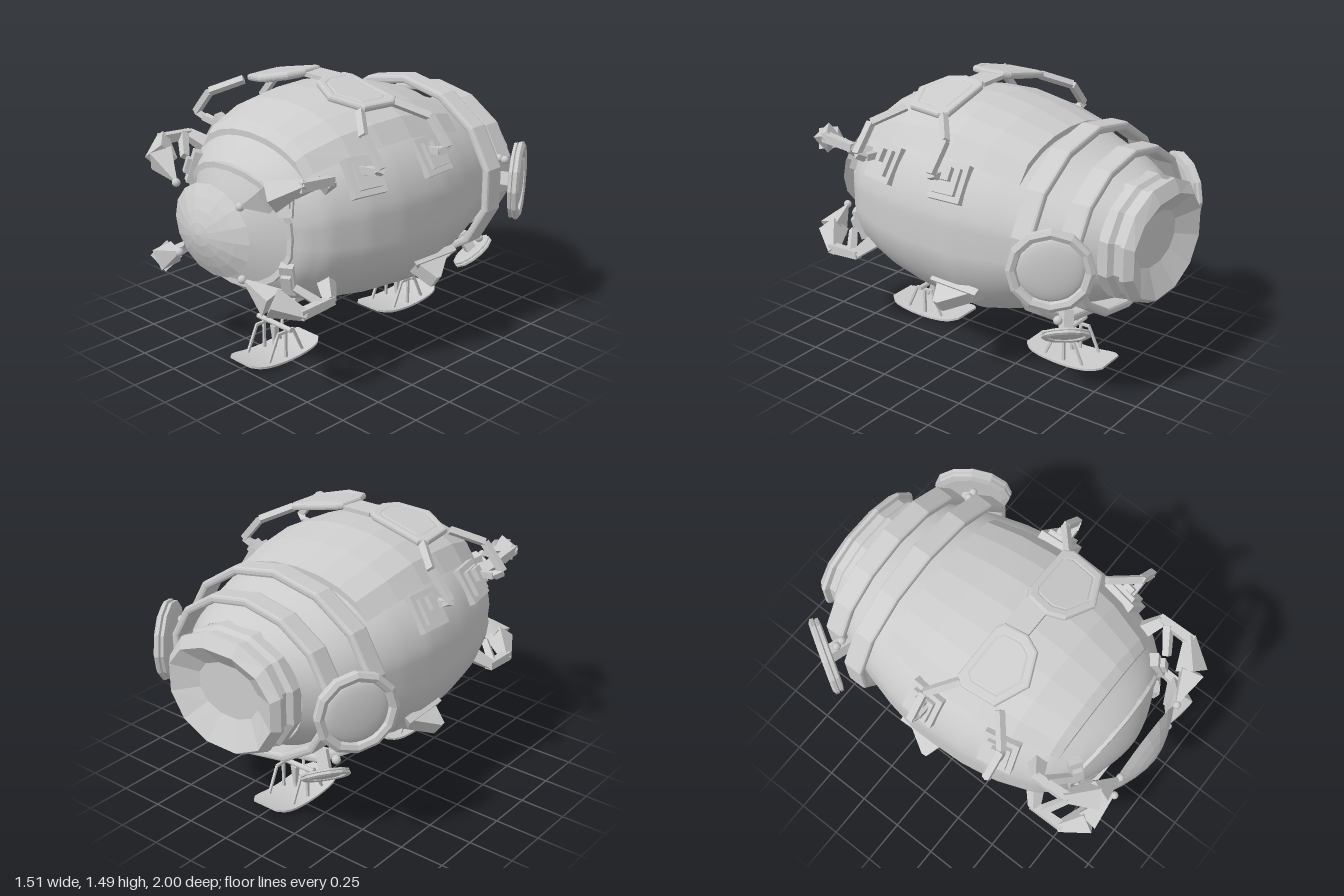
import * as THREE from 'three';

const V = (x, y, z) => new THREE.Vector3(x, y, z);
const smooth = new THREE.MeshStandardMaterial({ color: 0xcccccc, side: THREE.DoubleSide });
const flat = new THREE.MeshStandardMaterial({ color: 0xcccccc, side: THREE.DoubleSide, flatShading: true });
const CY = 0.83;

// hull sections: z, half width, top, bottom
const HULL = [
  [0.79, 0.38, 1.12, 0.52], [0.74, 0.44, 1.17, 0.46], [0.6, 0.52, 1.28, 0.395], [0.4, 0.595, 1.35, 0.34],
  [0.2, 0.63, 1.375, 0.3], [0, 0.64, 1.38, 0.28], [-0.12, 0.64, 1.36, 0.265], [-0.3, 0.61, 1.32, 0.315],
  [-0.47, 0.565, 1.26, 0.39], [-0.6, 0.52, 1.21, 0.43], [-0.7, 0.48, 1.18, 0.46], [-0.82, 0.38, 1.13, 0.51]];
// stepped tail with a bevelled recess
const TAIL = [
  [-0.8, 0.37, 1.14, 0.5], [-0.87, 0.38, 1.14, 0.5], [-0.89, 0.35, 1.12, 0.53], [-0.93, 0.35, 1.12, 0.53],
  [-0.94, 0.38, 1.135, 0.51], [-0.96, 0.38, 1.135, 0.51], [-1, 0.345, 1.065, 0.53], [-0.93, 0.2, 0.97, 0.68],
  [-0.93, 0.001, 0.831, 0.829]];

function ringPoint([z, w, top, bot], a, off = 0) {
  const c = Math.cos(a), s = Math.sin(a), e = 2 / 2.15;
  const groove = 1 - 0.018 * Math.exp(-((s / 0.07) ** 2)) * (z > -0.5 ? 1 : 0);
  const h = s > 0 ? top - CY : CY - bot;
  const sweep = 0.06 * c * c * Math.max(0, (z - 0.6) / 0.19);
  return V(Math.sign(c) * Math.abs(c) ** e * (w + off) * groove, CY + Math.sign(s) * Math.abs(s) ** e * (h + off), z - sweep);
}
function hullPoint(z, a, off = 0) {
  let i = 0;
  while (i < HULL.length - 2 && HULL[i + 1][0] > z) i++;
  const t = (z - HULL[i][0]) / (HULL[i + 1][0] - HULL[i][0]);
  return ringPoint(HULL[i].map((v, k) => v + (HULL[i + 1][k] - v) * t), a, off);
}
// grid surface from rows of points
function skin(rows, closed) {
  const n = rows[0].length, idx = [];
  for (let i = 0; i < rows.length - 1; i++) for (let j = 0; j < (closed ? n : n - 1); j++) {
    const k = (j + 1) % n, a = i * n + j, b = a + n, c = i * n + k, d = c + n;
    idx.push(a, b, c, c, b, d);
  }
  const g = new THREE.BufferGeometry().setFromPoints(rows.flat());
  g.setIndex(idx);
  g.computeVertexNormals();
  return g;
}
const around = (n, f) => Array.from({ length: n }, (_, j) => f((j / n) * Math.PI * 2));

function add(parent, name, geo, mat = flat) {
  const m = new THREE.Mesh(geo, mat);
  m.name = name;
  parent.add(m);
  return m;
}
function box(parent, name, w, h, d, x = 0, y = 0, z = 0) {
  const m = add(parent, name, new THREE.BoxGeometry(w, h, d));
  m.position.set(x, y, z);
  return m;
}
// square or round bar between two points, optionally tapered
function beam(parent, name, p, q, r1, r2 = r1, sides = 4) {
  const d = q.clone().sub(p);
  const m = add(parent, name, new THREE.CylinderGeometry(r2, r1, d.length(), sides).rotateY(Math.PI / 4));
  m.position.copy(p).add(q).multiplyScalar(0.5);
  m.quaternion.setFromUnitVectors(V(0, 1, 0), d.normalize());
}
function ball(parent, name, p, r) {
  add(parent, name, new THREE.SphereGeometry(r, 12, 8), smooth).position.copy(p);
}
// extruded outline with an optional hole
const ccw = pts => (THREE.ShapeUtils.isClockWise(pts) ? [...pts].reverse() : pts);
function plate(pts, hole, depth, bevel) {
  const shape = new THREE.Shape(ccw(pts));
  if (hole) shape.holes.push(new THREE.Path(ccw(hole)));
  return new THREE.ExtrudeGeometry(shape, { depth, bevelEnabled: bevel > 0, bevelThickness: bevel, bevelSize: bevel, bevelOffset: -bevel, bevelSegments: 2 });
}
// group sitting on the hull with +z along the surface normal
function mount(parent, name, z, a) {
  const g = new THREE.Group(), p = hullPoint(z, a);
  const u = hullPoint(z - 0.02, a).sub(hullPoint(z + 0.02, a));
  const v = hullPoint(z, a + 0.05).sub(hullPoint(z, a - 0.05));
  g.name = name;
  g.position.copy(p);
  g.lookAt(p.clone().add(u.cross(v).normalize()));
  parent.add(g);
  return g;
}
// shallow pointed cap, swept back at the sides
function dome(rx, ry, z0, depth, sweep, n, rings) {
  const rows = Array.from({ length: rings + 1 }, (_, i) => {
    const r = Math.max(i / rings, 0.002);
    return around(n, a => V(rx * r * Math.cos(a), CY - 0.005 + ry * r * Math.sin(a), z0 + depth * (1 - r ** 1.7) - sweep * (r * Math.cos(a)) ** 2));
  });
  return skin(rows, true);
}
function porthole(parent, name, pos, normal, r) {
  const g = new THREE.Group();
  g.name = name;
  g.position.copy(pos);
  g.lookAt(pos.clone().add(normal));
  parent.add(g);
  const rim = [[0, -0.13], [0.8, -0.13], [0.97, -0.1], [0.97, -0.03], [0.93, -0.01], [1, 0.02], [1, 0.1], [0.9, 0.16], [0.79, 0.12], [0.75, 0]];
  add(g, name + 'Rim', new THREE.LatheGeometry(rim.map(([x, y]) => new THREE.Vector2(x * r, y * r)), 12).rotateX(Math.PI / 2));
  const lens = add(g, name + 'Lens', new THREE.SphereGeometry(r * 0.77, 24, 6, 0, Math.PI * 2, 0, Math.PI / 2).rotateX(Math.PI / 2), smooth);
  lens.scale.z = 0.2;
}
// landing ski with its frame and strut, leaning towards the given side
function landingSki(parent, name, z, lean) {
  const g = new THREE.Group();
  g.name = name;
  g.position.z = z;
  parent.add(g);
  const geo = new THREE.BoxGeometry(0.245, 0.012, 0.49, 4, 1, 14), p = geo.attributes.position;
  for (let i = 0; i < p.count; i++) {
    const t = p.getZ(i) / 0.245;
    p.setX(i, p.getX(i) * (1 - 0.35 * t ** 8));
    p.setY(i, p.getY(i) + 0.006 + 0.034 * t * t);
  }
  geo.computeVertexNormals();
  add(g, 'ski', geo);
  for (const s of [-1, 1]) {
    box(g, 'skiRail', 0.014, 0.014, 0.11, s * 0.085, 0.16, 0);
    beam(g, 'skiPost', V(s * 0.085, 0.01, 0), V(s * 0.085, 0.17, 0), 0.01);
    for (const e of [-1, 1]) beam(g, 'skiLeg', V(s * 0.085, 0.015, e * 0.12), V(s * 0.085, 0.16, e * 0.052), 0.009);
    beam(g, 'strut', V(s * 0.058, 0.18, 0), V(s * 0.015, 0.31, lean * 0.05), 0.009, 0.009, 6);
  }
  beam(g, 'crossbar', V(-0.13, 0.182, 0), V(0.13, 0.182, 0), 0.014, 0.014, 8);
  beam(g, 'centrePost', V(0, 0.04, 0), V(0, 0.17, 0), 0.01, 0.025);
  box(g, 'strutClamp', 0.08, 0.025, 0.03, 0, 0.305, lean * 0.05);
  beam(g, 'strutTop', V(0, 0.29, lean * 0.045), V(0, 0.4, lean * 0.085), 0.025);
  const bay = mount(parent, name + 'Bay', z + lean * 0.05, -Math.PI / 2);
  const o = [[-0.18, 0.07], [0.18, 0.07], [0.12, -0.07], [-0.12, -0.07]].map(([x, y]) => new THREE.Vector2(x, y * -lean));
  add(bay, 'bayFrame', plate(o, o.map(v => v.clone().multiplyScalar(0.78)), 0.04, 0)).position.z = -0.025;
}

export function createModel() {
  const root = new THREE.Group();
  root.name = 'submersible';

  // hull, nose and tail
  const zs = Array.from({ length: 47 }, (_, i) => 0.79 - i * 0.035);
  add(root, 'hull', skin(zs.map(z => around(56, a => hullPoint(z, a))), true), smooth);
  add(root, 'nose', dome(0.385, 0.315, 0.775, 0.08, 0.06, 32, 8), smooth);
  add(root, 'noseRim', skin([[0.01, -0.02], [0.01, 0.01], [-0.02, 0.012], [-0.03, -0.02]].map(([z, off]) =>
    around(24, a => hullPoint(0.785, a, off).add(V(0, 0, z)))), true));
  add(root, 'tail', skin(TAIL.map(s => around(12, a => ringPoint(s, a + Math.PI / 12))), true));

  // raised roof panel, stepped at both ends and blended at its sides
  const pz = [0.65, 0.65, 0.6, 0.4, 0.2, 0, -0.2, -0.41, -0.41];
  const lo = 0.72, pa = Array.from({ length: 9 }, (_, k) => lo + (Math.PI - 2 * lo) * k / 8);
  add(root, 'roofPanel', skin(pz.map((z, i) => pa.map((a, j) =>
    hullPoint(z, a, i % 8 === 0 ? -0.02 : j % 8 === 0 ? 0.004 : 0.032))), false));

  // bands around the rear
  for (const [name, z, w, top, bot] of [['frontBand', -0.59, 0.635, 1.35, 0.3], ['rearBand', -0.8, 0.535, 1.27, 0.4]]) {
    const oval = k => around(14, a => new THREE.Vector2((w - k) * Math.cos(a + Math.PI / 14), (top + bot) / 2 + ((top - bot) / 2 - k) * Math.sin(a + Math.PI / 14)));
    add(root, name, plate(oval(0), oval(0.045), 0.09, 0.014)).position.z = z + 0.015;
  }

  // front dome shield
  add(root, 'shield', dome(0.285, 0.24, 0.91, 0.09, 0, 16, 4));
  add(root, 'shieldBack', dome(0.285, 0.24, 0.91, -0.005, 0, 16, 1));

  // goggles resting on the roof
  box(root, 'goggleBridge', 0.17, 0.022, 0.13, 0, 1.467, 0.135);
  const outline = [[0.08, 0.075], [0.12, 0.05], [0.42, 0.04], [0.455, 0.09], [0.435, 0.28], [0.26, 0.36], [0.1, 0.29], [0.06, 0.2]];
  for (const s of [-1, 1]) {
    const pts = k => outline.map(([x, z]) => new THREE.Vector2(s * (x - 0.255) * k, -(z - 0.195) * k));
    const g = new THREE.Group();
    g.name = 'goggle';
    g.position.set(s * 0.255, 1.425, 0.195);
    g.rotation.z = -s * 0.22;
    root.add(g);
    add(g, 'goggleFrame', plate(pts(1), pts(0.7), 0.01, 0.013).rotateX(-Math.PI / 2)).position.y = 0.008;
    add(g, 'goggleLens', plate(pts(0.8), null, 0.006, 0.02).rotateX(-Math.PI / 2)).position.y = 0.005;

    // straps and the clips that hold them
    for (const [z0, z1, z2] of [[0.31, 0.43, 0.41], [0.07, -0.05, -0.04]]) {
      const path = [V(s * 0.43, 1.395, z0), V(s * 0.57, 1.325, z1), V(s * 0.69, 1.19, z1), V(s * 0.65, 1.165, z2), V(s * 0.53, 1.15, z2)];
      for (let i = 0; i < 4; i++) beam(root, 'strap', path[i], path[i + 1], 0.025, 0.025);
      const c = mount(root, 'strapClip', z2 - 0.03, s > 0 ? 0.52 : Math.PI - 0.52);
      box(c, 'clipBase', 0.19, 0.2, 0.05);
      box(c, 'clipPad', 0.13, 0.14, 0.1);
      box(c, 'clipHook', 0.06, 0.07, 0.16, 0, 0.03, 0);
    }

    // claws gripping the shield
    for (const t of [-1, 1]) {
      const P = (x, y, z) => V(s * x, CY + t * y, z);
      const a = t * 0.62;
      const foot = mount(root, 'clawFoot', 0.755, s > 0 ? a : Math.PI - a);
      box(foot, 'footPlate', 0.07, 0.17, 0.06);
      box(foot, 'footBlock', 0.05, 0.08, 0.11);
      beam(root, 'clawRoot', P(0.43, 0.24, 0.55), P(0.53, 0.31, 0.62), 0.055, 0.035);
      beam(root, 'clawBrace', P(0.41, 0.24, 0.74), P(0.52, 0.32, 0.66), 0.025, 0.03);
      beam(root, 'clawArm', P(0.53, 0.31, 0.6), P(0.52, 0.325, 0.81), 0.03, 0.035);
      beam(root, 'clawElbow', P(0.535, 0.335, 0.78), P(0.41, 0.27, 0.89), 0.03, 0.082);
      beam(root, 'clawTip', P(0.41, 0.27, 0.89), P(0.25, 0.19, 0.925), 0.082, 0.008);
      ball(root, 'clawBall', P(0.243, 0.188, 0.93), 0.022);
    }

    // side scoop, opening out towards the front
    const scoop = mount(root, 'sideScoop', -0.1, s > 0 ? -0.56 : Math.PI + 0.56);
    const wedge = [[-0.14, -0.02], [0.13, -0.02], [0.07, 0.12], [0.04, 0.12]].map(([x, y]) => new THREE.Vector2(-s * x, y));
    add(scoop, 'scoopWedge', plate(wedge, null, 0.08, 0).rotateX(Math.PI / 2)).position.y = 0.04;
    const so = [[-0.15, 0.06], [0.15, 0.06], [0.06, -0.07], [-0.08, -0.05]].map(([x, y]) => new THREE.Vector2(-s * x, y));
    add(scoop, 'scoopFrame', plate(so, so.map(v => v.clone().multiplyScalar(0.8)), 0.04, 0)).position.z = -0.02;

    // rear portholes and their joints
    porthole(root, 'sidePorthole', V(s * 0.625, 0.835, -0.715), V(s * 0.86, 0, -0.51), 0.216);
    porthole(root, 'lowerPorthole', V(s * 0.385, 0.365, -0.655), V(s * 0.5, -0.77, -0.38), 0.128);
    for (const x of [0.535, 0.575]) ball(root, 'portholeJoint', V(s * x, 0.95, -0.67), 0.022);
    ball(root, 'lowerJoint', V(s * 0.44, 0.465, -0.64), 0.024);
    beam(root, 'portholeArm', V(s * 0.45, 0.835, -0.66), V(s * 0.61, 0.835, -0.71), 0.05);
    beam(root, 'lowerPortholeArm', V(s * 0.33, 0.47, -0.62), V(s * 0.38, 0.37, -0.65), 0.04);
  }

  landingSki(root, 'frontSki', 0.51, -1);
  landingSki(root, 'rearSki', -0.45, 1);
  return root;
}
